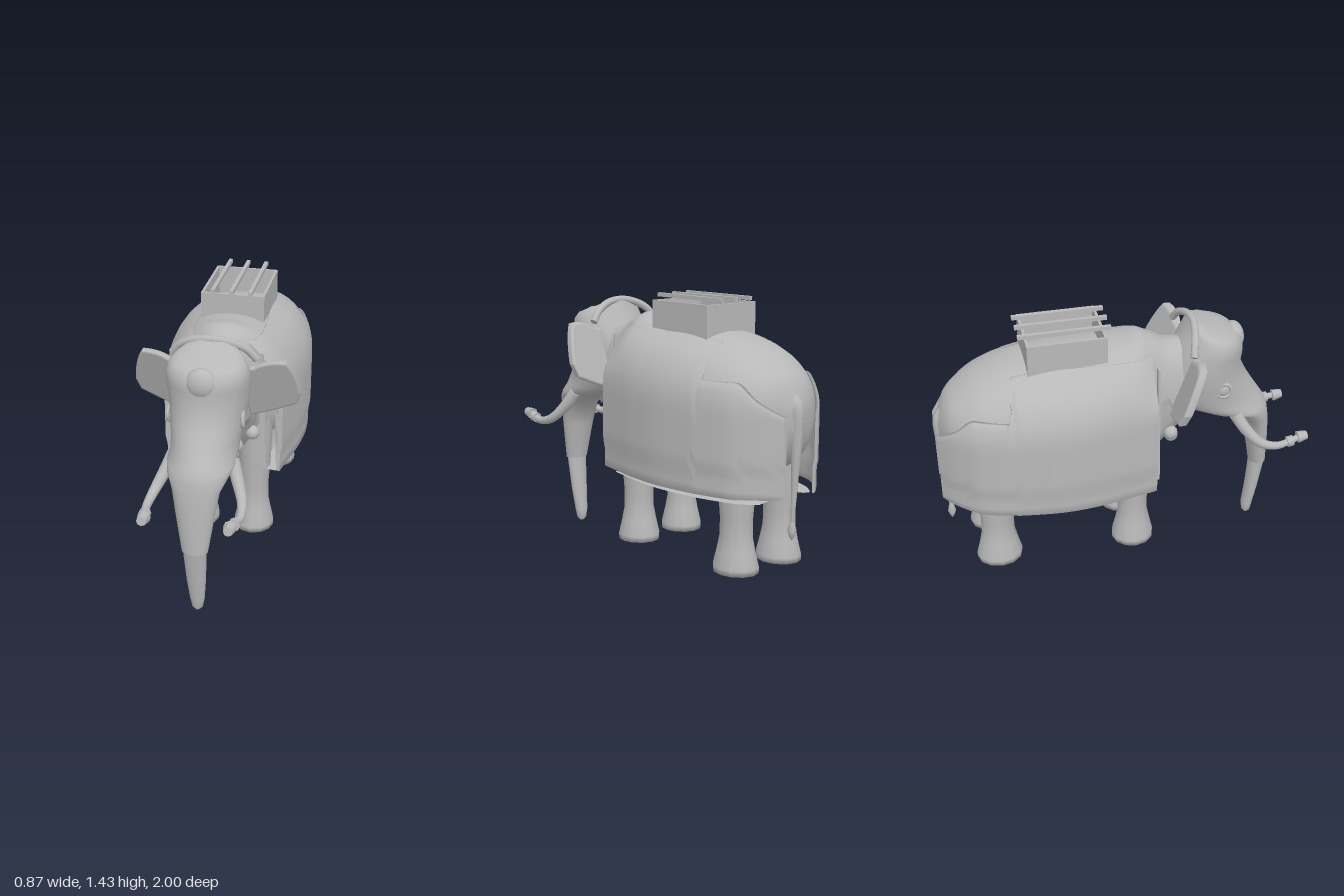
import * as THREE from 'three';

const V = (x, y, z) => new THREE.Vector3(x, y, z);
const grey = new THREE.MeshStandardMaterial({ color: 0xb8b8b8, side: THREE.DoubleSide });
grey.name = 'grey';

// Skin over rows of points; closed rows are rings with capped ends
function skin(rows, closed) {
  const n = rows[0].length, pts = rows.flat(), idx = [];
  const cols = closed ? n : n - 1;
  for (let i = 0; i < rows.length - 1; i++) for (let j = 0; j < cols; j++) {
    const k = (j + 1) % n, a = i * n + j, b = i * n + k, c = a + n, d = b + n;
    idx.push(a, c, b, b, c, d);
  }
  if (closed) for (const i of [0, rows.length - 1]) {
    const centre = rows[i].reduce((s, p) => s.add(p), V(0, 0, 0)).divideScalar(n);
    const base = pts.length;
    pts.push(...rows[i], centre);
    for (let j = 0; j < n; j++) {
      const k = (j + 1) % n;
      if (i) idx.push(base + j, base + n, base + k);
      else idx.push(base + j, base + k, base + n);
    }
  }
  // Turn the faces outward when the enclosed volume is negative
  let vol = 0;
  for (let i = 0; i < idx.length; i += 3)
    vol += pts[idx[i]].dot(V(0, 0, 0).crossVectors(pts[idx[i + 1]], pts[idx[i + 2]]));
  if (closed && vol < 0) idx.reverse();
  const g = new THREE.BufferGeometry().setFromPoints(pts);
  g.setIndex(idx);
  g.computeVertexNormals();
  return g;
}

const ring = (n, f) => Array.from({ length: n }, (_, i) => {
  const a = (i / n) * Math.PI * 2;
  return f(Math.cos(a), Math.sin(a));
});

// Smooth interpolation without overshoot, in a table whose first column increases
function lookup(table, t) {
  let i = 0;
  while (i < table.length - 2 && t > table[i + 1][0]) i++;
  const slope = (k, j) => (table[k + 1][j] - table[k][j]) / (table[k + 1][0] - table[k][0]);
  const tangent = (k, j) => {
    if (k === 0) return slope(0, j);
    if (k === table.length - 1) return slope(k - 1, j);
    const p = slope(k - 1, j), q = slope(k, j);
    return p * q <= 0 ? 0 : 2 * p * q / (p + q);
  };
  const [a, b] = [table[i], table[i + 1]], h = b[0] - a[0];
  const s = THREE.MathUtils.clamp((t - a[0]) / h, 0, 1), r = 1 - s;
  return a.map((v, j) => v * (1 + 2 * s) * r * r + b[j] * s * s * (3 - 2 * s)
    + h * s * r * (tangent(i, j) * r - tangent(i + 1, j) * s));
}

// Tube along points with changing radius
function taper(points, radii, sides = 10, steps = 24) {
  const curve = new THREE.CatmullRomCurve3(points);
  const fr = curve.computeFrenetFrames(steps, false);
  const rows = [];
  for (let i = 0; i <= steps; i++) {
    const t = i / steps, s = t * (radii.length - 1), k = Math.min(Math.floor(s), radii.length - 2);
    const r = radii[k] + (radii[k + 1] - radii[k]) * (s - k), p = curve.getPointAt(t);
    rows.push(ring(sides, (c, q) => p.clone().addScaledVector(fr.normals[i], c * r).addScaledVector(fr.binormals[i], q * r)));
  }
  return skin(rows, true);
}

// z, top, bottom, half width
const BODY = [
  [-0.975, 0.95, 0.8, 0.05], [-0.94, 1.05, 0.7, 0.15], [-0.87, 1.12, 0.62, 0.235], [-0.75, 1.195, 0.57, 0.31],
  [-0.6, 1.245, 0.56, 0.35], [-0.4, 1.275, 0.56, 0.375], [-0.2, 1.285, 0.56, 0.365], [0, 1.305, 0.58, 0.32],
  [0.08, 1.32, 0.62, 0.26], [0.15, 1.3, 0.69, 0.2], [0.25, 1.255, 0.8, 0.17], [0.36, 1.25, 0.86, 0.16]];
// z, half width, upper edge
const CLOTH = [
  [-0.995, 0.12, 0.9], [-0.96, 0.17, 0.93], [-0.9, 0.235, 0.98], [-0.8, 0.31, 1.06], [-0.63, 0.36, 1.06],
  [-0.61, 0.365, 1.22], [-0.35, 0.39, 1.25], [-0.2, 0.38, 1.25], [0, 0.345, 1.25], [0.13, 0.32, 1.24]];
// y, front z, back z, half width
const HEAD = [
  [1.355, 0.41, 0.36, 0.06], [1.33, 0.46, 0.35, 0.13], [1.308, 0.54, 0.34, 0.165], [1.285, 0.61, 0.33, 0.188],
  [1.25, 0.645, 0.31, 0.205], [1.19, 0.655, 0.28, 0.21], [1.1, 0.645, 0.245, 0.203], [1.0, 0.695, 0.24, 0.192],
  [0.92, 0.745, 0.25, 0.176], [0.86, 0.785, 0.31, 0.17], [0.82, 0.81, 0.42, 0.174], [0.785, 0.82, 0.58, 0.155],
  [0.72, 0.83, 0.685, 0.12], [0.6, 0.84, 0.715, 0.1], [0.39, 0.845, 0.75, 0.067]];
const TRUNK = [[0.4, 0.842, 0.755, 0.061], [0.2, 0.812, 0.742, 0.05], [0.07, 0.79, 0.727, 0.038],
  [0.02, 0.782, 0.732, 0.028], [0.002, 0.768, 0.745, 0.012]];

const headLoft = (t) => skin(t.map(([y, f, b, w]) =>
  ring(28, (c, s) => V(c * w, y, (f + b) / 2 + s * (f - b) / 2))), true);

// Body flank: x at height y above the widest line, slightly squarer than an ellipse
const POWER = 2.25;
const flank = (w, u) => w * Math.pow(Math.max(0, 1 - Math.pow(u, POWER)), 1 / POWER);

// Hanging side cloth: outer face, hem and inner face in one loop
function clothSide() {
  const rows = [], N = 16;
  for (let i = 0; i <= 60; i++) {
    const z = -0.995 + 1.125 * i / 60, [, w, edge] = lookup(CLOTH, z);
    const [, top, , bodyW] = lookup(BODY, z);
    const line = (inset) => Array.from({ length: N }, (_, j) => {
      const y = edge + (0.5 - edge) * j / (N - 1), u = THREE.MathUtils.clamp((y - 0.9) / (top - 0.9), 0, 1);
      // The cloth lies on the back and falls free lower down
      const free = z < -0.62 ? 1 : Math.min(1, (edge - y) / 0.22);
      return V(flank(bodyW, u) + 0.004 + (w - bodyW - 0.004) * free - inset - (y < 0.64 ? 0.01 : 0), y, z);
    });
    rows.push([...line(0), ...line(0.02).reverse()]);
  }
  return skin(rows, true);
}

function earGeometry() {
  const s = new THREE.Shape();
  s.moveTo(0.17, 1.2);
  s.lineTo(0.22, 1.21);
  s.quadraticCurveTo(0.27, 1.25, 0.36, 1.24);
  s.quadraticCurveTo(0.4, 1.18, 0.42, 1.05);
  s.lineTo(0.4, 0.99);
  s.lineTo(0.29, 0.945);
  s.lineTo(0.18, 0.91);
  const g = new THREE.ExtrudeGeometry(s, { depth: 0.025, bevelEnabled: true, bevelSize: 0.014, bevelThickness: 0.012, bevelSegments: 3 });
  // Lean the ear back toward its lower edge and tip
  const p = g.attributes.position;
  for (let i = 0; i < p.count; i++)
    p.setZ(i, p.getZ(i) + 0.35 - 0.38 * (1.22 - p.getY(i)) - 0.2 * (p.getX(i) - 0.2));
  g.computeVertexNormals();
  return g;
}

export function createModel() {
  const model = new THREE.Group();
  model.name = 'elephant';
  const add = (name, geo, x = 0, y = 0, z = 0, parent = model) => {
    const m = new THREE.Mesh(geo, grey);
    m.name = name;
    m.position.set(x, y, z);
    parent.add(m);
    return m;
  };

  // Body and neck
  const bodyRows = [];
  for (let i = 0; i <= 60; i++) {
    const [z, top, bottom, w] = lookup(BODY, -0.975 + 1.335 * i / 60);
    bodyRows.push(ring(40, (c, s) => {
      const u = Math.sign(s) * Math.pow(Math.abs(s), 2 / POWER);
      return V(Math.sign(c) * flank(w, Math.abs(u)), 0.9 + u * (s > 0 ? top - 0.9 : 0.9 - bottom), z);
    }));
  }
  add('body', skin(bodyRows, true));

  // Head and trunk
  add('head', headLoft(HEAD));
  add('trunkTip', headLoft(TRUNK));
  add('foreheadBump', new THREE.SphereGeometry(0.08, 24, 16), 0, 1.225, 0.61).scale.z = 0.68;
  const lip = add('lowerLip', new THREE.ConeGeometry(0.06, 0.11, 10), 0, 0.795, 0.53);
  lip.rotation.x = Math.PI * 0.85;
  add('headBand', taper([V(-0.215, 1.25, 0.335), V(-0.17, 1.305, 0.35), V(-0.09, 1.345, 0.37), V(0, 1.358, 0.38),
    V(0.09, 1.345, 0.37), V(0.17, 1.305, 0.35), V(0.215, 1.25, 0.335)], [0.02, 0.021, 0.02]));

  // Tail with tuft
  add('tail', taper([V(0, 0.98, -0.92), V(0, 0.94, -0.96), V(0, 0.8, -0.968), V(0, 0.55, -0.96), V(0, 0.36, -0.953)],
    [0.04, 0.032, 0.024, 0.015, 0.01]));
  add('tailTuft', new THREE.LatheGeometry([[0, 0], [0.012, 0.02], [0.023, 0.05], [0.014, 0.09], [0.004, 0.12]]
    .map(([r, y]) => new THREE.Vector2(r, y)), 8), 0, 0.265, -0.951);

  // Paired parts, built on +x and mirrored
  const legProfile = [[0, 0.09], [0.108, 0.09], [0.11, 0.12], [0.092, 0.2], [0.079, 0.27], [0.078, 0.36], [0.088, 0.5], [0.1, 0.8]]
    .map(([r, y]) => new THREE.Vector2(r, y));
  for (const side of [1, -1]) {
    const half = new THREE.Group();
    half.name = side > 0 ? 'leftSide' : 'rightSide';
    half.scale.x = side;
    model.add(half);
    const put = (name, geo, x, y, z) => add(name, geo, x, y, z, half);
    put('frontLeg', new THREE.LatheGeometry(legProfile, 12), 0.155, 0, 0.03).scale.z = 1.06;
    put('hindLeg', new THREE.LatheGeometry(legProfile, 12), 0.155, 0, -0.72).scale.z = 1.14;
    put('ear', earGeometry());
    const eye = put('eye', new THREE.SphereGeometry(0.036, 16, 10), 0.178, 1.005, 0.515);
    eye.scale.x = 0.5;
    const lid = put('eyelid', new THREE.TorusGeometry(0.04, 0.01, 8, 20), 0.184, 1.005, 0.515);
    lid.rotation.y = Math.PI / 2 + 0.15;

    // Tusk with collar and knob
    put('tusk', taper([V(0.15, 0.82, 0.6), V(0.185, 0.74, 0.65), V(0.225, 0.66, 0.73), V(0.235, 0.634, 0.82),
      V(0.222, 0.642, 0.9), V(0.21, 0.66, 0.97)], [0.036, 0.033, 0.028, 0.023, 0.019, 0.017]));
    const collar = put('tuskCollar', new THREE.CylinderGeometry(0.03, 0.03, 0.035, 8), 0.222, 0.642, 0.9);
    const knob = put('tuskKnob', new THREE.CylinderGeometry(0.024, 0.034, 0.055, 8), 0.211, 0.658, 0.972);
    collar.rotation.x = knob.rotation.x = Math.PI / 2 - 0.15;

    // Cloth, its lower fringe and front strap
    put('sideCloth', clothSide());
    const fringe = [];
    for (let i = 0; i <= 24; i++) {
      const z = -0.9 + i * 0.98 / 24, w = lookup(CLOTH, z)[1];
      fringe.push([V(w - 0.05, 0.47, z), V(w - 0.1, 0.475, z), V(w - 0.14, 0.485, z)]);
    }
    put('clothFringe', skin(fringe, false));
    const strap = put('frontStrap', new THREE.BoxGeometry(0.03, 0.68, 0.012), 0.215, 0.86, 0.155);
    strap.rotation.z = 0.04;
  }

  // Chest collar with bells
  const chest = new THREE.CatmullRomCurve3([V(-0.2, 0.96, 0.17), V(-0.18, 0.82, 0.22), V(-0.1, 0.73, 0.25),
    V(0, 0.7, 0.26), V(0.1, 0.73, 0.25), V(0.18, 0.82, 0.22), V(0.2, 0.96, 0.17)]);
  const band = [];
  for (let i = 0; i <= 30; i++) {
    const p = chest.getPoint(i / 30);
    band.push([[0.05, 0.045], [0.065, 0.03], [-0.085, -0.1], [-0.1, -0.085]]
      .map(([dy, dz]) => V(p.x * (1 + dy), p.y + dy, p.z + dz)));
  }
  add('chestCollar', skin(band, true));
  for (let i = 0; i < 5; i++) {
    const p = chest.getPoint(0.2 + i * 0.15);
    add('bell', new THREE.SphereGeometry(0.038, 12, 8), p.x * 1.06, p.y - 0.02, p.z + 0.005);
  }

  // Open seat box with rails above
  for (const s of [1, -1]) {
    add('seatSideWall', new THREE.BoxGeometry(0.014, 0.2, 0.41), s * 0.163, 1.3, -0.308);
    add('seatEndWall', new THREE.BoxGeometry(0.34, 0.2, 0.014), 0, 1.3, -0.308 + s * 0.198);
  }
  for (const x of [-0.1, 0, 0.1])
    add('seatRail', new THREE.BoxGeometry(0.02, 0.02, 0.475), x, 1.422, -0.31);

  return model;
}
